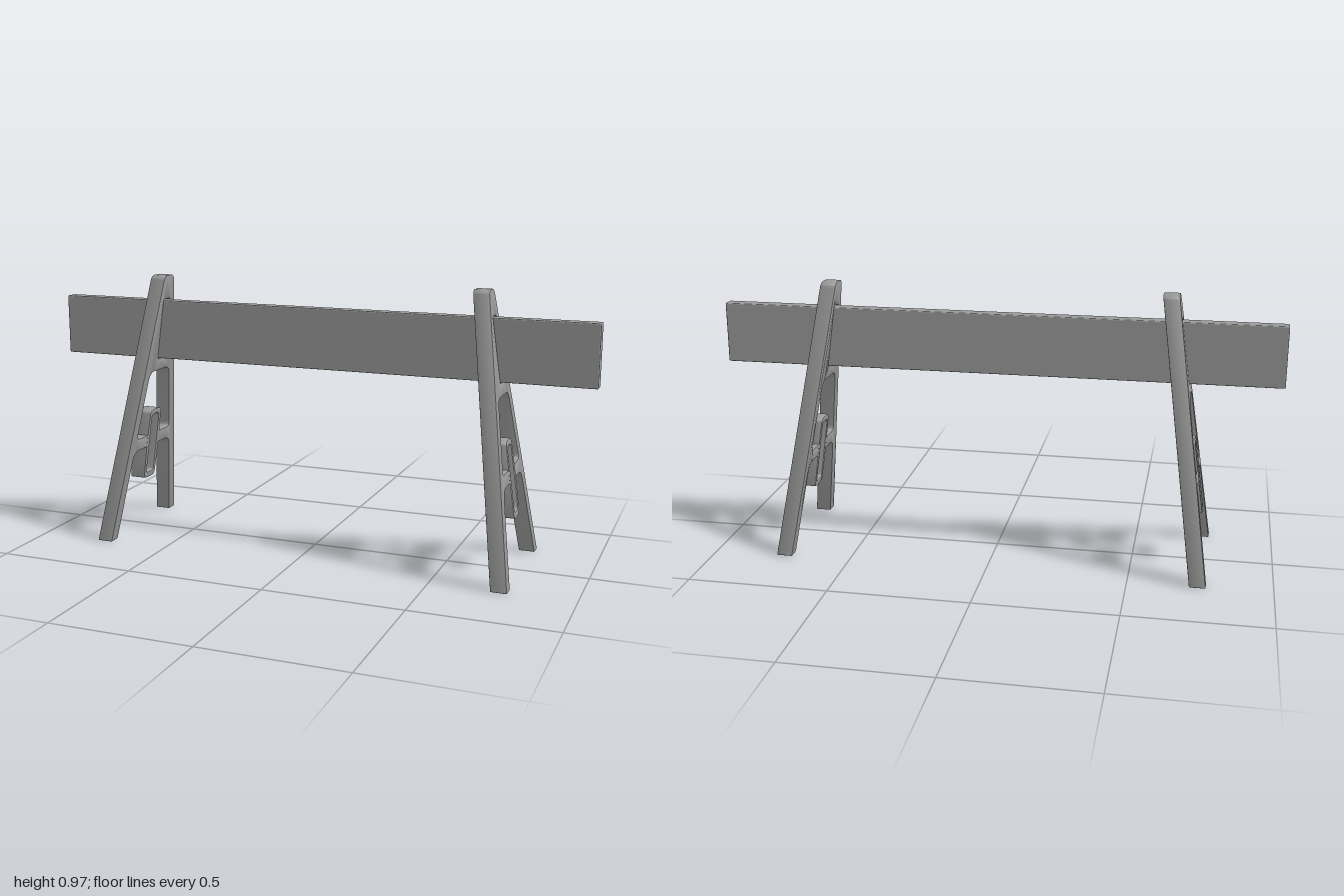
import * as THREE from 'three';
import { toCreasedNormals } from 'three/addons/utils/BufferGeometryUtils.js';
import { RoundedBoxGeometry } from 'three/addons/geometries/RoundedBoxGeometry.js';

const darkGrey = new THREE.MeshStandardMaterial({ color: 0x9a9a9a });

// Closed outline through [u, y, cornerRadius] points, with rounded corners
function trace(path, points) {
  const n = points.length;
  const toward = (a, b, r) => {
    const d = Math.hypot(b[0] - a[0], b[1] - a[1]);
    const t = Math.min(r / d, 0.49);
    return [a[0] + (b[0] - a[0]) * t, a[1] + (b[1] - a[1]) * t];
  };
  points.forEach((p, i) => {
    const start = toward(p, points[(i + n - 1) % n], p[2]);
    const end = toward(p, points[(i + 1) % n], p[2]);
    if (i === 0) path.moveTo(...start);
    else path.lineTo(...start);
    if (p[2] > 0) path.quadraticCurveTo(p[0], p[1], ...end);
  });
  path.closePath();
  return path;
}

// Complete a half outline with its mirror image
const mirrored = (half) => [...half, ...half.map(([u, y, r]) => [-u, y, r]).reverse()];

const slot = (w, bottom, top, r) =>
  trace(new THREE.Path(), mirrored([[w, bottom, r], [w, top, r]]));

// Extrude a side profile along x, then lean it so the feet splay outward
function leaningPlate(name, shape, thickness, bevel) {
  const geo = new THREE.ExtrudeGeometry(shape, {
    depth: thickness - 2 * bevel, curveSegments: 6,
    bevelEnabled: true, bevelThickness: bevel, bevelSize: bevel,
    bevelOffset: -bevel, bevelSegments: 2,
  });
  geo.translate(0, 0, -thickness / 2 + bevel);
  geo.rotateY(Math.PI / 2);
  const pos = geo.attributes.position;
  for (let i = 0; i < pos.count; i++) {
    pos.setX(i, pos.getX(i) + 0.7425 - 0.144 * pos.getY(i));
  }
  const mesh = new THREE.Mesh(toCreasedNormals(geo, 0.6), darkGrey);
  mesh.name = name;
  return mesh;
}

function makeTrestle(name) {
  const group = new THREE.Group();
  group.name = name;

  // A-shaped frame: arch, cross brace stubs, feet and narrow head
  const frame = trace(new THREE.Shape(), mirrored([
    [0.073, 0.613, 0.03],
    [0.126, 0.365, 0.02],
    [0.035, 0.365, 0],
    [0.035, 0.319, 0],
    [0.136, 0.319, 0.035],
    [0.204, 0, 0.005],
    [0.249, 0, 0.005],
    [0.035, 0.97, 0.02],
  ]));
  frame.holes.push(slot(0.026, 0.657, 0.882, 0.012));
  group.add(leaningPlate('legFrame', frame, 0.057, 0.003));

  // Elongated ring held between the brace stubs
  const ring = trace(new THREE.Shape(), mirrored([
    [0.02, 0.19, 0.012],
    [0.041, 0.195, 0.015],
    [0.047, 0.326, 0.05],
    [0.041, 0.457, 0.015],
    [0.02, 0.462, 0.012],
  ]));
  ring.holes.push(slot(0.026, 0.211, 0.442, 0.014));
  group.add(leaningPlate('braceRing', ring, 0.06, 0.004));
  return group;
}

export function createModel() {
  const model = new THREE.Group();
  model.name = 'barricade';

  // Long plank threaded through both trestles
  const plank = new THREE.Mesh(new RoundedBoxGeometry(2, 0.217, 0.046, 2, 0.004), darkGrey);
  plank.name = 'plank';
  plank.position.y = 0.769;
  model.add(plank);

  const left = makeTrestle('leftTrestle');
  const right = makeTrestle('rightTrestle');
  right.rotation.y = Math.PI;
  model.add(left, right);
  return model;
}
